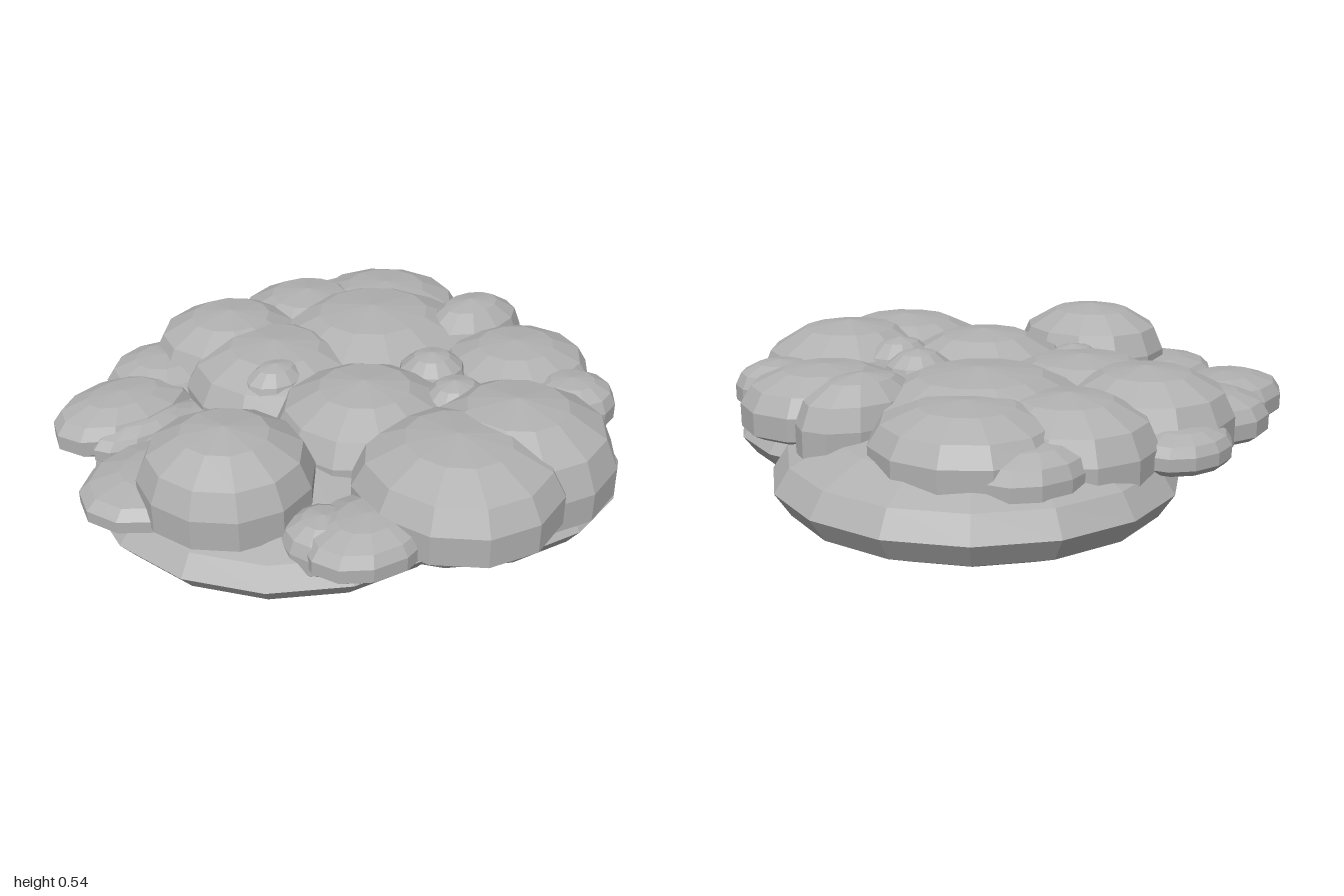
import * as THREE from 'three';

const stone = new THREE.MeshStandardMaterial({ color: 0xb0b0b0, flatShading: true });
stone.name = 'grey stone';

// Broad flattened ellipsoids the cluster rests on: x, z, radius, centre y, half height
const BASES = [
  [0.36, -0.27, 0.64, 0.2, 0.195],
  [-0.28, 0, 0.67, 0.195, 0.165],
  [0.16, 0.3, 0.59, 0.2, 0.16],
];

// Domed lumps: x, z, radius x, radius z, rim y, top y
const LUMPS = [
  // front pair
  [0.2, 0.57, 0.335, 0.33, 0.33, 0.53],
  [-0.075, 0.575, 0.33, 0.345, 0.36, 0.515],
  // tall left lump
  [-0.615, 0.11, 0.275, 0.285, 0.38, 0.545],
  // middle and back rows
  [-0.08, 0.15, 0.31, 0.3, 0.36, 0.52],
  [-0.1, -0.3, 0.32, 0.32, 0.35, 0.5],
  [-0.09, -0.58, 0.29, 0.28, 0.36, 0.51],
  [0.32, -0.25, 0.41, 0.39, 0.34, 0.52],
  [0.54, -0.42, 0.29, 0.3, 0.37, 0.49],
  [0.27, -0.57, 0.28, 0.28, 0.34, 0.49],
  // right side
  [0.63, -0.05, 0.23, 0.155, 0.38, 0.52],
  [0.56, 0.24, 0.28, 0.26, 0.37, 0.485],
  [0.55, 0.51, 0.155, 0.15, 0.37, 0.45],
  // small fillers
  [0.25, 0.13, 0.13, 0.12, 0.4, 0.5],
  [0.17, 0.32, 0.14, 0.12, 0.38, 0.5],
  [-0.2, -0.17, 0.13, 0.1, 0.4, 0.495],
  // left and rear edge
  [-0.6, -0.52, 0.26, 0.18, 0.31, 0.39],
  [-0.58, -0.39, 0.22, 0.1, 0.29, 0.35],
  [-0.35, -0.63, 0.22, 0.2, 0.32, 0.4],
  [-0.73, -0.09, 0.27, 0.22, 0.3, 0.36],
  [-0.42, 0.55, 0.22, 0.17, 0.3, 0.37],
  [-0.52, 0.46, 0.13, 0.13, 0.28, 0.36],
  [0, -0.8, 0.18, 0.13, 0.32, 0.38],
  [0.5, -0.66, 0.2, 0.14, 0.33, 0.41],
];

// Faceted dome with a short upright skirt and a bevelled underside
function lumpGeometry(rx, rz, height) {
  const skirt = Math.min(0.1, height * 0.65);
  const profile = [
    [0, -skirt - 0.02], [0.87, -skirt - 0.02], [1, -skirt], [1, 0],
    [0.87, height * 0.5], [0.5, height * 0.87], [0, height],
  ].map(([r, y]) => new THREE.Vector2(r, y));
  return new THREE.LatheGeometry(profile, 12).scale(rx, 1, rz);
}

export function createModel() {
  const model = new THREE.Group();
  model.name = 'rockCluster';

  BASES.forEach(([x, z, r, y, h], i) => {
    const base = new THREE.Mesh(new THREE.SphereGeometry(1, 16, 8).scale(r, h, r), stone);
    base.name = `baseSlab${i + 1}`;
    base.position.set(x, y, z);
    model.add(base);
  });

  LUMPS.forEach(([x, z, rx, rz, rim, top], i) => {
    const lump = new THREE.Mesh(lumpGeometry(rx, rz, top - rim), stone);
    lump.name = `lump${i + 1}`;
    lump.position.set(x, rim, z);
    model.add(lump);
  });

  return model;
}
